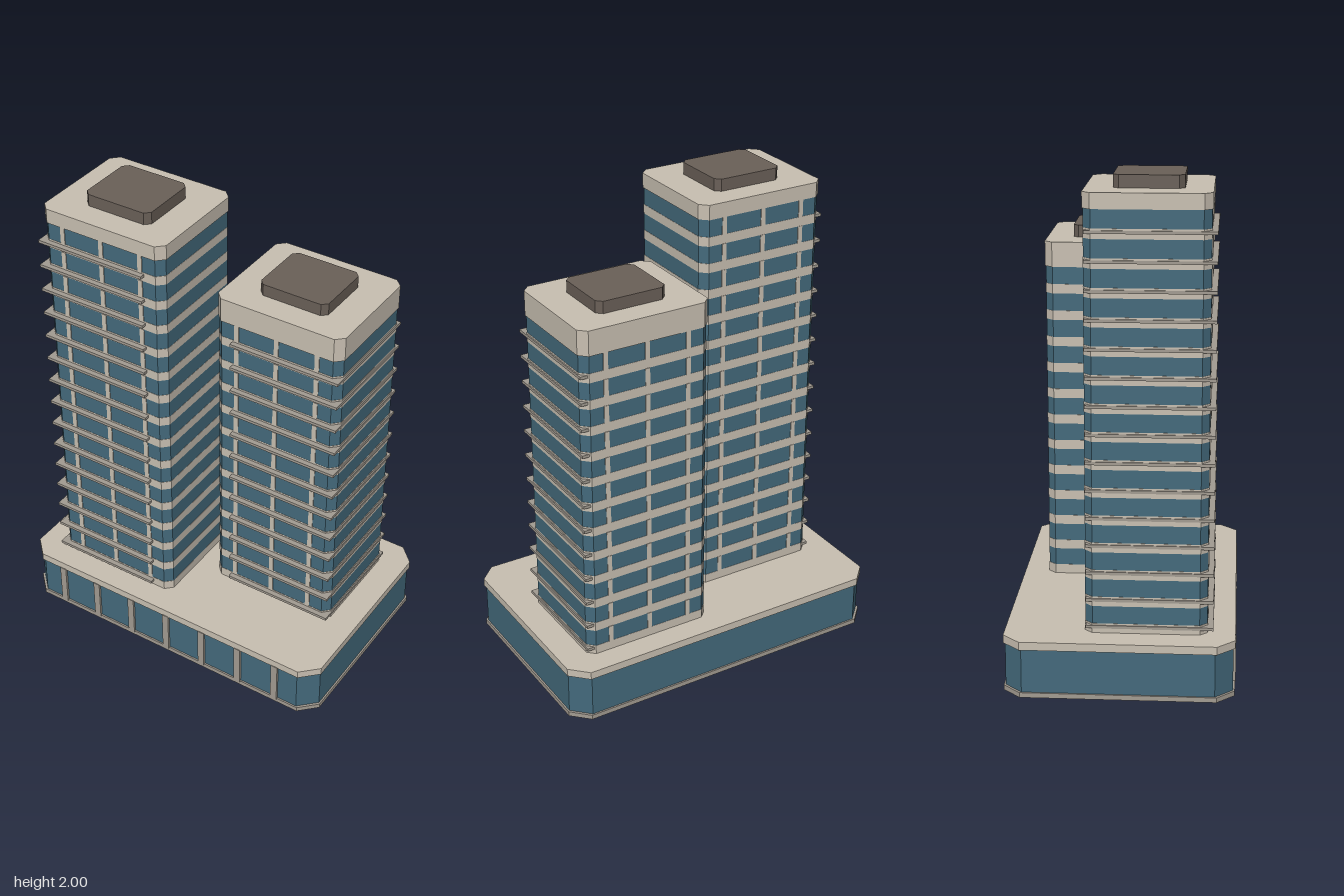
import * as THREE from 'three';

const mat = (name, color) => {
  const m = new THREE.MeshStandardMaterial({ color });
  m.name = name;
  return m;
};

export function createModel() {
  const cream = mat('cream stone', 0xc9c0b2);
  const concrete = mat('grey concrete', 0xa39c92);
  const glass = mat('blue glass', 0x446a7c);
  const brown = mat('brown roof', 0x6a6058);

  const add = (parent, name, geometry, material) => {
    const mesh = new THREE.Mesh(geometry, material);
    mesh.name = name;
    parent.add(mesh);
    return mesh;
  };

  // Upright block with chamfered corners, w by d, from y0 to y1
  const block = (parent, name, w, d, c, y0, y1, material) => {
    const x = w / 2, z = d / 2;
    const shape = new THREE.Shape([
      [-x + c, -z], [x - c, -z], [x, -z + c], [x, z - c],
      [x - c, z], [-x + c, z], [-x, z - c], [-x, -z + c],
    ].map(([a, b]) => new THREE.Vector2(a, b)));
    const g = new THREE.ExtrudeGeometry(shape, { depth: y1 - y0, bevelEnabled: false });
    g.rotateX(-Math.PI / 2).translate(0, y0, 0);
    return add(parent, name, g, material);
  };

  // Box given by its limits on each axis
  const box = (parent, name, x0, x1, y0, y1, z0, z1, material) => {
    const g = new THREE.BoxGeometry(x1 - x0, y1 - y0, z1 - z0);
    g.translate((x0 + x1) / 2, (y0 + y1) / 2, (z0 + z1) / 2);
    return add(parent, name, g, material);
  };

  const model = new THREE.Group();
  model.name = 'twinTowers';

  // Podium: plinth, glazed storey, roof slab and front pillars
  const podium = new THREE.Group();
  podium.name = 'podium';
  model.add(podium);
  block(podium, 'plinth', 1.45, 0.904, 0.07, 0, 0.02, concrete);
  block(podium, 'podiumGlass', 1.436, 0.89, 0.07, 0.02, 0.197, glass);
  block(podium, 'podiumRoof', 1.45, 0.904, 0.07, 0.197, 0.23, cream);
  for (let i = -3; i <= 3; i++) {
    const x = i * 0.181;
    box(podium, 'pillar', x - 0.015, x + 0.015, 0.015, 0.2, 0.43, 0.455, concrete);
  }

  const base = 0.23, storey = 0.1106, band = 0.039;

  // Tower: side is +1 or -1 for the outer side its balconies face
  const tower = (name, x, z, side, floors, top) => {
    const t = new THREE.Group();
    t.name = name;
    t.position.set(x, 0, z);
    model.add(t);
    const roofline = base + floors * storey;
    for (let i = 0; i < floors; i++) {
      const y = base + i * storey;
      block(t, 'floorBand', 0.56, 0.48, 0.03, y, y + band, cream);
      block(t, 'windowBand', 0.558, 0.478, 0.03, y + band, y + storey, glass);
      // Balcony slab overhanging the front and the outer side
      const outer = side * 0.285, inner = -side * 0.198;
      box(t, 'balcony', Math.min(outer, inner), Math.max(outer, inner),
        y + 0.02, y + 0.032, -0.235, 0.262, concrete);
      // Window posts on front and back
      for (const px of [-0.18, 0, 0.18]) {
        box(t, 'windowPost', px - 0.01, px + 0.01, y + band, y + storey, -0.242, 0.242, cream);
      }
    }
    block(t, 'parapet', 0.566, 0.486, 0.032, roofline, top, cream);
    block(t, 'roofHouse', 0.3, 0.27, 0.022, top, top + 0.05, brown);
  };

  tower('tallTower', -0.33, 0.103, -1, 15, 1.95);
  tower('shortTower', 0.325, -0.11, 1, 12, 1.66);

  return model;
}
